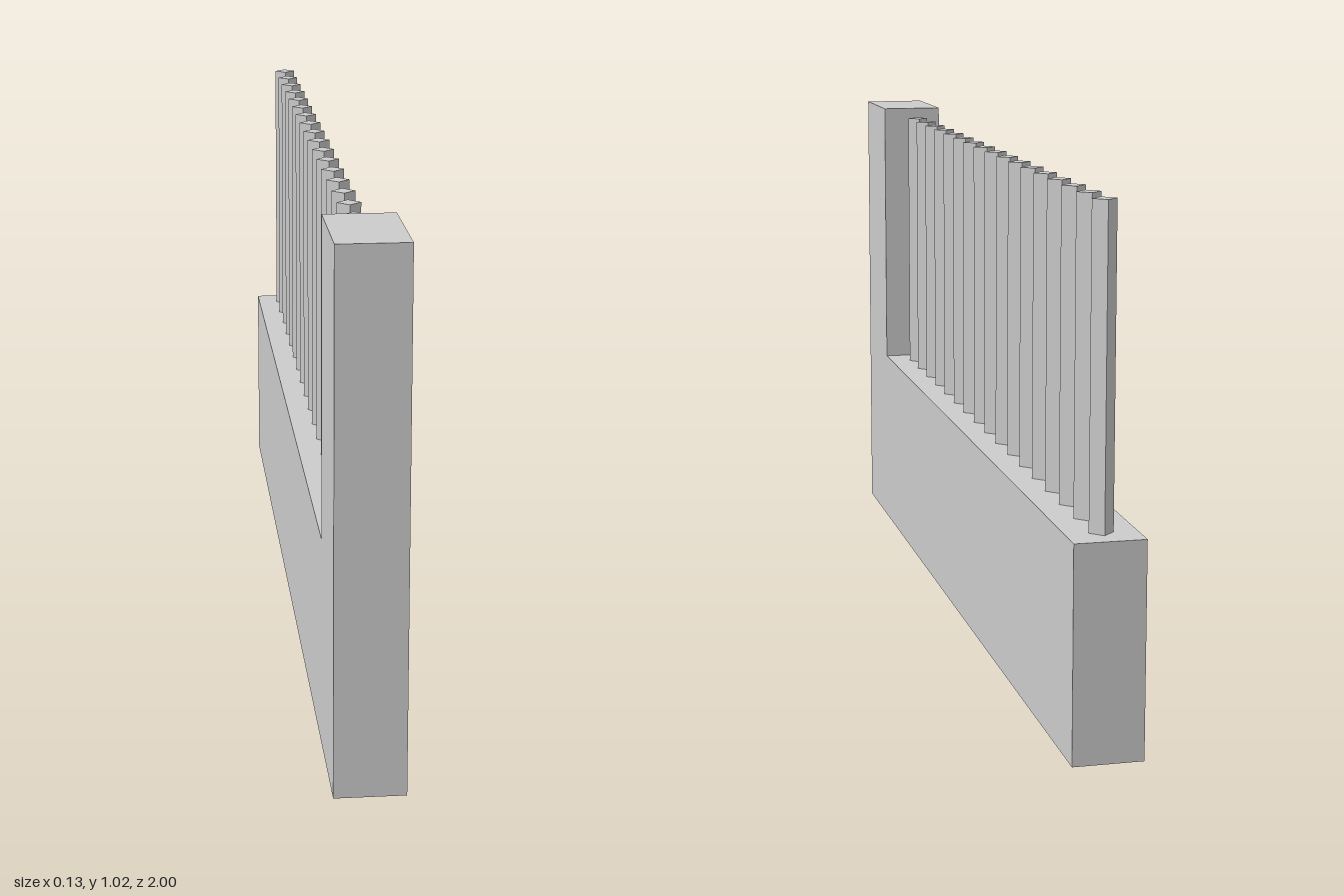
import * as THREE from 'three';

export function createModel() {
  const group = new THREE.Group();
  const material = new THREE.MeshStandardMaterial({ color: 0xcccccc, flatShading: true });
  const width = 0.134, wallTop = 0.41, postTop = 1.022, postBack = 0.77;

  function add(name, geometry, y, z) {
    const mesh = new THREE.Mesh(geometry, material);
    mesh.name = name;
    mesh.position.set(0, y, z);
    group.add(mesh);
  }

  // Low wall and the taller end post
  add('wall', new THREE.BoxGeometry(width, wallTop, 1 + postBack), wallTop / 2, (postBack - 1) / 2);
  add('post', new THREE.BoxGeometry(width, postTop, 1 - postBack), postTop / 2, (1 + postBack) / 2);

  // Row of square railing bars, set corner-on
  const count = 17, firstZ = 0.698, lastZ = -0.938, barTop = 1.004;
  const barGeometry = new THREE.CylinderGeometry(0.023, 0.023, barTop - wallTop, 4);
  for (let i = 0; i < count; i++) {
    const z = THREE.MathUtils.lerp(firstZ, lastZ, i / (count - 1));
    add('railingBar' + (i + 1), barGeometry, (barTop + wallTop) / 2, z);
  }
  return group;
}
